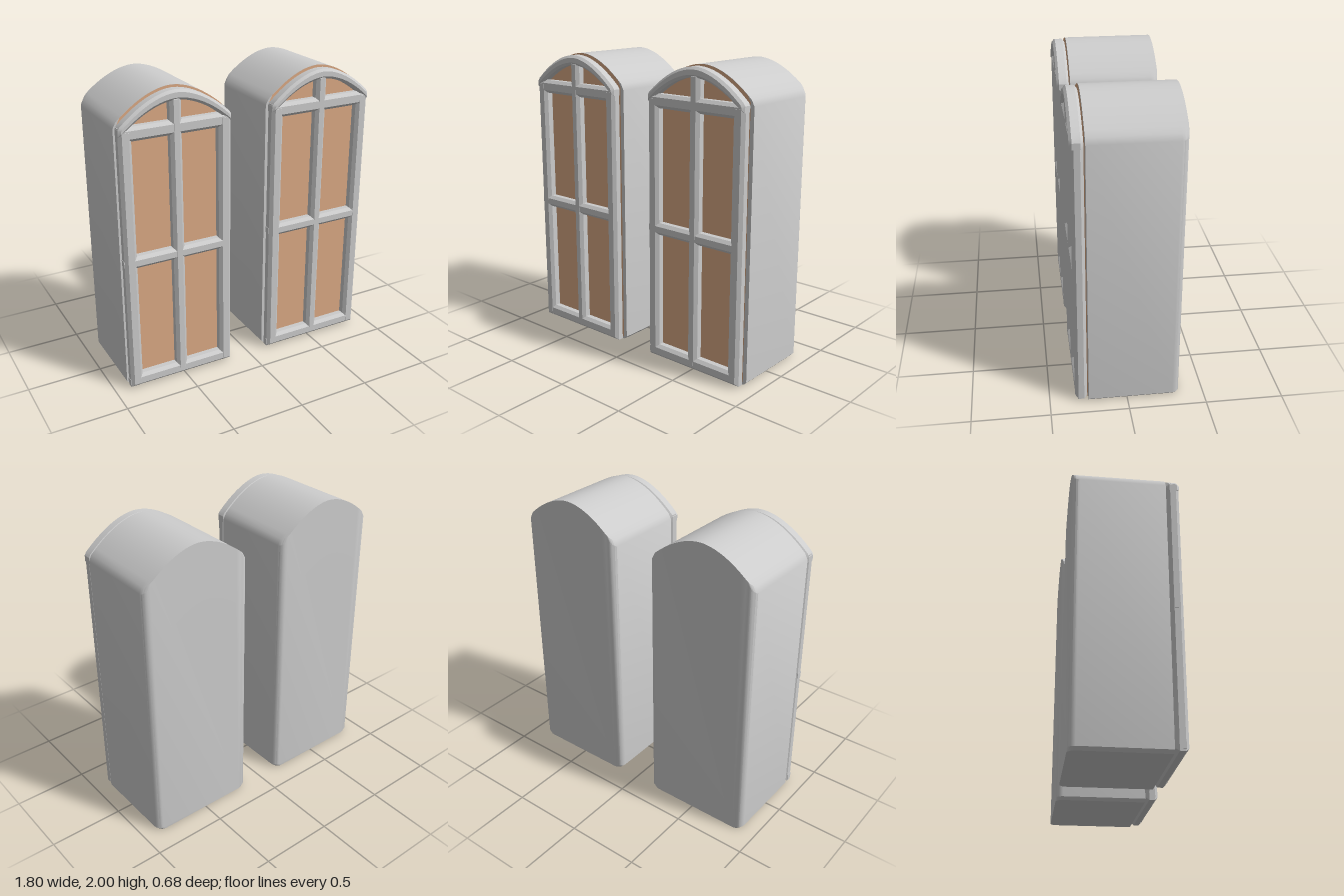
import * as THREE from 'three';
import { toCreasedNormals } from 'three/addons/utils/BufferGeometryUtils.js';

const HALF = 0.38;
const FRAME_X = -0.005;
const grey = new THREE.MeshStandardMaterial({ color: 0xcccccc });
const paneColor = new THREE.MeshStandardMaterial({ color: 0xdcaa85 });

// Height of the curved top at a distance x from the middle
const arch = (x) => 2 - 0.2 * Math.pow(Math.abs(x) / HALF, 1.85);

// Counter-clockwise outline of the arched body with half width w
function outline(w) {
  const s = w - 0.02;
  const pts = [[-s, 0], [s, 0], [w, 0.02], [w, arch(w) - 0.02]];
  const n = 20;
  for (let i = 0; i <= n; i++) {
    const x = s * (1 - (2 * i) / n);
    pts.push([x, arch(x)]);
  }
  pts.push([-w, arch(w) - 0.02], [-w, 0.02]);
  return pts;
}

// Body lofted front to back, its rear upright edges rounded
function bodyGeometry() {
  const r = 0.045, back = -0.34;
  const sections = [[0.25, HALF]];
  for (let i = 0; i <= 5; i++) {
    const a = (i / 5) * Math.PI / 2;
    sections.push([back + r - r * Math.sin(a), HALF - r + r * Math.cos(a)]);
  }
  const pos = [], idx = [];
  sections.forEach(([z, w]) => outline(w).forEach(([x, y]) => pos.push(x, y, z)));
  const n = outline(HALF).length, last = (sections.length - 1) * n;
  for (let s = 0; s < sections.length - 1; s++) {
    for (let i = 0; i < n; i++) {
      const a = s * n + i, b = s * n + (i + 1) % n;
      idx.push(a, a + n, b, b, a + n, b + n);
    }
  }
  for (let i = 1; i < n - 1; i++) {
    idx.push(0, i, i + 1);
    idx.push(last, last + i + 1, last + i);
  }
  const g = new THREE.BufferGeometry();
  g.setAttribute('position', new THREE.Float32BufferAttribute(pos, 3));
  g.setIndex(idx);
  return toCreasedNormals(g, 0.5);
}

// Extrusion between two depths, chamfered at front and rear
function chamfered(shape, z0, z1, bevel) {
  const g = new THREE.ExtrudeGeometry(shape, {
    depth: z1 - z0 - 2 * bevel, bevelEnabled: true, bevelSegments: 1,
    bevelThickness: bevel, bevelSize: bevel, bevelOffset: -bevel,
  });
  g.translate(0, 0, z0 + bevel);
  return toCreasedNormals(g, 0.4);
}

function bar(x0, x1, y0, y1, z1 = 0.335) {
  const shape = new THREE.Shape([
    new THREE.Vector2(x0, y0), new THREE.Vector2(x1, y0),
    new THREE.Vector2(x1, y1), new THREE.Vector2(x0, y1),
  ]);
  return chamfered(shape, 0.258, z1, 0.02);
}

// Curved head of the frame
function archGeometry() {
  const outer = [], inner = [], n = 20;
  for (let i = 0; i <= n; i++) {
    const t = 1 - (2 * i) / n;
    outer.push(new THREE.Vector2(0.36 * t, arch(0.36 * t) - 0.01));
    inner.unshift(new THREE.Vector2(0.345 * t, arch(0.345 * t) - 0.075));
  }
  const shape = new THREE.Shape([
    new THREE.Vector2(0.372, 1.75), new THREE.Vector2(0.372, 1.79), ...outer,
    new THREE.Vector2(-0.372, 1.79), new THREE.Vector2(-0.372, 1.75), ...inner,
  ]);
  return chamfered(shape, 0.258, 0.34, 0.016);
}

function createWindow() {
  const win = new THREE.Group();
  const add = (name, geometry, material = grey, parent = win) => {
    const mesh = new THREE.Mesh(geometry, material);
    mesh.name = name;
    parent.add(mesh);
    return mesh;
  };
  add('body', bodyGeometry());

  // Coloured panel behind the glazing bars
  const panel = new THREE.Shape(outline(0.355).map(([x, y]) => new THREE.Vector2(x, y)));
  add('pane', new THREE.ShapeGeometry(panel), paneColor).position.z = 0.253;

  // Frame and glazing bars
  const frame = new THREE.Group();
  frame.name = 'frame';
  frame.position.x = FRAME_X;
  win.add(frame);
  for (const [name, side] of [['leftPost', 1], ['rightPost', -1]]) {
    add(name, bar(side * 0.33 - 0.042, side * 0.33 + 0.042, 0.015, 1.79), grey, frame);
  }
  add('mullion', bar(-0.038, 0.038, 0.03, 1.95), grey, frame);
  for (const [name, y0, y1] of [
    ['bottomRail', 0.015, 0.1], ['middleRail', 0.88, 0.96], ['topRail', 1.71, 1.8],
  ]) add(name, bar(-0.37, 0.365, y0, y1, 0.334), grey, frame);
  add('archHead', archGeometry(), grey, frame);

  // Small rail ends at the right edge
  for (const y of [0.05, 0.92]) {
    const end = add('railEnd', new THREE.BoxGeometry(0.025, 0.04, 0.04), grey, frame);
    end.position.set(-0.362, y, 0.297);
  }
  return win;
}

export function createModel() {
  const model = new THREE.Group();
  model.name = 'archedWindows';
  for (const [name, x] of [['leftWindow', 0.52], ['rightWindow', -0.52]]) {
    const win = createWindow();
    win.name = name;
    win.position.x = x;
    model.add(win);
  }
  return model;
}
